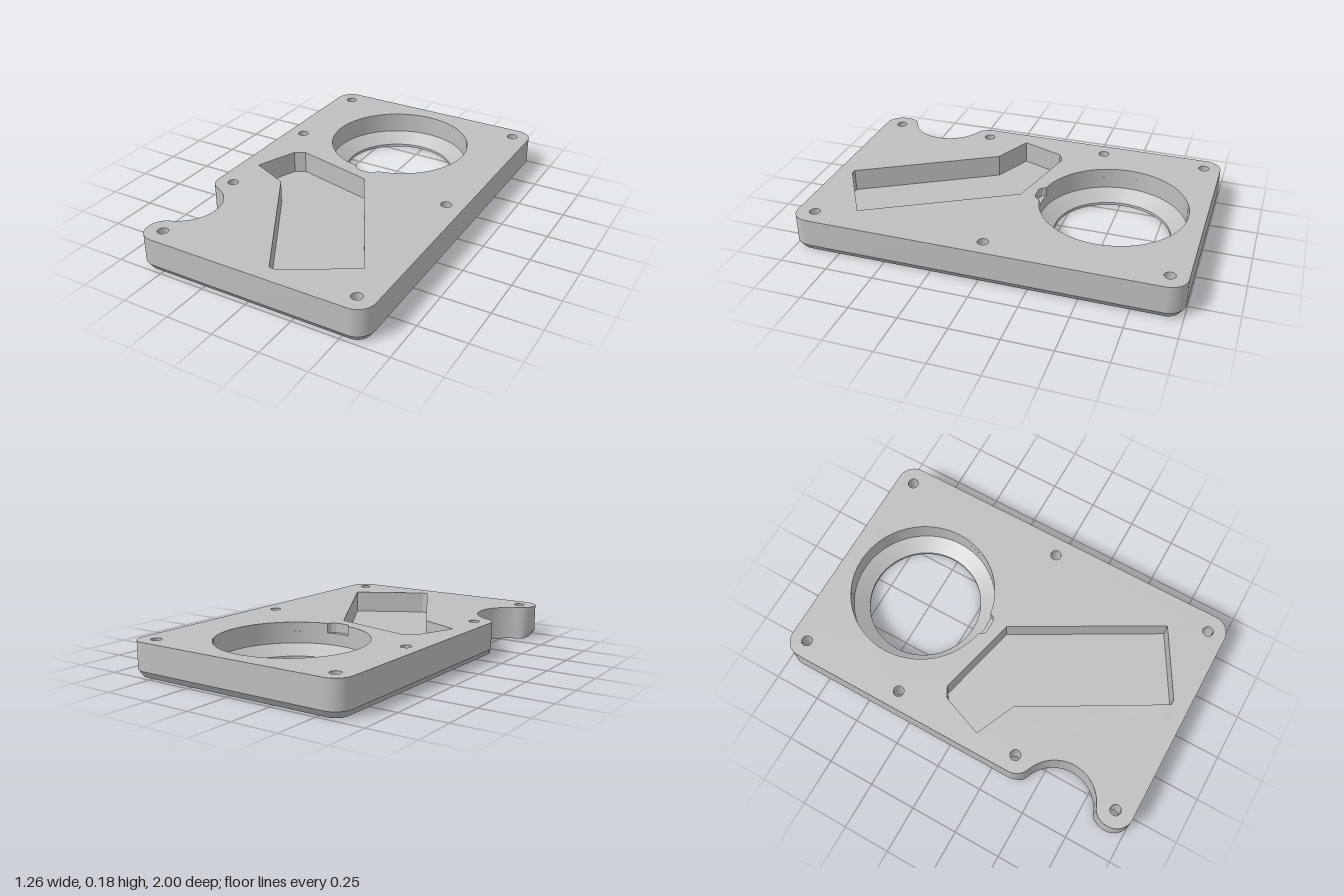
import * as THREE from 'three';
import { mergeGeometries, toCreasedNormals } from 'three/addons/utils/BufferGeometryUtils.js';

// Plan coordinates: (x, -z). Solid outlines run counter-clockwise, holes clockwise.
const H = 0.18, CHAMFER_H = 0.035, CHAMFER = 0.025;
const W = 0.63, L = 1, R = 0.09;
const CX = W - R, CY = L - R;

function arc(x, y, r, a0, a1, n) {
  return Array.from({ length: n + 1 }, (_, i) => {
    const a = a0 + (a1 - a0) * i / n;
    return new THREE.Vector2(x + r * Math.cos(a), y + r * Math.sin(a));
  });
}

// Clockwise circle for holes
const ring = (x, y, r, n) => arc(x, y, r, 2 * Math.PI, 0, n).slice(0, -1);

// Rounded rectangle with a filleted round bite in the left side
function outline(inset) {
  const q = Math.PI / 2, r = R - inset;
  const nx = -0.645, ny = -0.625, dy = 0.275;
  const t = Math.atan2(dy, -CX - nx);
  const nr = Math.hypot(dy, -CX - nx) - R;
  const bite = [
    ...arc(-CX, ny + dy, R, Math.PI, Math.PI + t, 12),
    ...arc(nx, ny, nr, t, -t, 32).slice(1, -1),
    ...arc(-CX, ny - dy, R, Math.PI - t, Math.PI, 12),
  ];
  bite.forEach((p) => { p.x = Math.max(p.x, -W + inset); });
  return [
    ...arc(CX, -CY, r, -q, 0, 12),
    ...arc(CX, CY, r, 0, q, 12),
    ...arc(-CX, CY, r, q, 2 * q, 12),
    ...bite,
    ...arc(-CX, -CY, r, 2 * q, 3 * q, 12),
  ];
}

// Wall strip between two loops of equal length
function band(lower, upper, y0, y1) {
  const pos = [], n = lower.length;
  for (let i = 0; i < n; i++) {
    const j = (i + 1) % n;
    const [a, b] = [lower[i], lower[j]].map((p) => [p.x, y0, -p.y]);
    const [d, c] = [upper[i], upper[j]].map((p) => [p.x, y1, -p.y]);
    pos.push(...a, ...b, ...c, ...a, ...c, ...d);
  }
  const g = new THREE.BufferGeometry();
  g.setAttribute('position', new THREE.Float32BufferAttribute(pos, 3));
  return g;
}

// Flat face with holes, facing up or down
function cap(points, holes, y, down = false) {
  const shape = new THREE.Shape(points);
  shape.holes = holes.map((h) => new THREE.Path(h));
  let g = new THREE.ShapeGeometry(shape);
  g.rotateX(-Math.PI / 2).translate(0, y, 0);
  if (down) g.setIndex(Array.from(g.index.array).reverse());
  g = g.toNonIndexed();
  g.computeVertexNormals();
  return g;
}

export function createModel() {
  const group = new THREE.Group();
  const grey = new THREE.MeshStandardMaterial({ color: 0xbebebe });
  grey.name = 'grey';
  const add = (name, geometry) => {
    const mesh = new THREE.Mesh(geometry, grey);
    mesh.name = name;
    group.add(mesh);
  };
  const walls = (name, ...bands) => add(name, toCreasedNormals(mergeGeometries(bands), 0.4));

  // Outer sides with a chamfered lower edge
  const outer = outline(0), foot = outline(CHAMFER);
  walls('outerWall', band(foot, outer, 0, CHAMFER_H), band(outer, outer, CHAMFER_H, H));

  // Large stepped opening with a small nook cut into its rim
  const oy = 0.525, ro = 0.385, ri = 0.305;
  const nookFloor = 0.13, seatTop = 0.067, lip = 0.015;
  const wide = ring(0, oy, ro, 96), narrow = ring(0, oy, ri, 96);
  const half = Math.asin(0.065 / ro), down = -Math.PI / 2;
  const nook = [[-0.055, 0.125], [-0.035, 0.112], [0.035, 0.112], [0.055, 0.125]]
    .map(([x, y]) => new THREE.Vector2(x, y));
  const rim = [...arc(0, oy, ro, down + half, down + 2 * Math.PI - half, 90), ...nook].reverse();
  walls('opening',
    band(narrow, narrow, 0, lip),
    band(narrow, wide, lip, seatTop),
    band(wide, wide, seatTop, nookFloor),
    band(rim, rim, nookFloor, H));
  add('nookFloor', cap([...nook, ...arc(0, oy, ro, down + half, down - half, 8)], [], nookFloor));

  // Angled pocket sunk into the top
  const pocketY = 0.06;
  const pocket = [[-0.45, 0.11], [-0.395, 0.14], [0.04, 0.035], [0.46, -0.705],
    [0.11, -0.91], [0.08, -0.91], [-0.325, -0.21], [-0.535, -0.115]]
    .map(([x, y]) => new THREE.Vector2(x, y));
  walls('pocketWall', band(pocket, pocket, pocketY, H));
  add('pocketFloor', cap(pocket, [], pocketY));

  // Screw holes, countersunk from below
  const screws = [[-0.54, 0.91], [0.535, 0.91], [-0.54, 0.345], [0.535, 0.003],
    [-0.54, -0.342], [-0.54, -0.906], [0.535, -0.906]];
  const bores = screws.map(([x, y]) => ring(x, y, 0.028, 24));
  const sinks = screws.map(([x, y]) => ring(x, y, 0.046, 24));
  bores.forEach((bore, i) => walls('screwHole' + (i + 1),
    band(sinks[i], bore, 0, 0.03), band(bore, bore, 0.03, H)));

  // Flat faces
  add('topFace', cap(outer, [rim, pocket, ...bores], H));
  add('bottomFace', cap(foot, [narrow, ...sinks], 0, true));
  return group;
}
